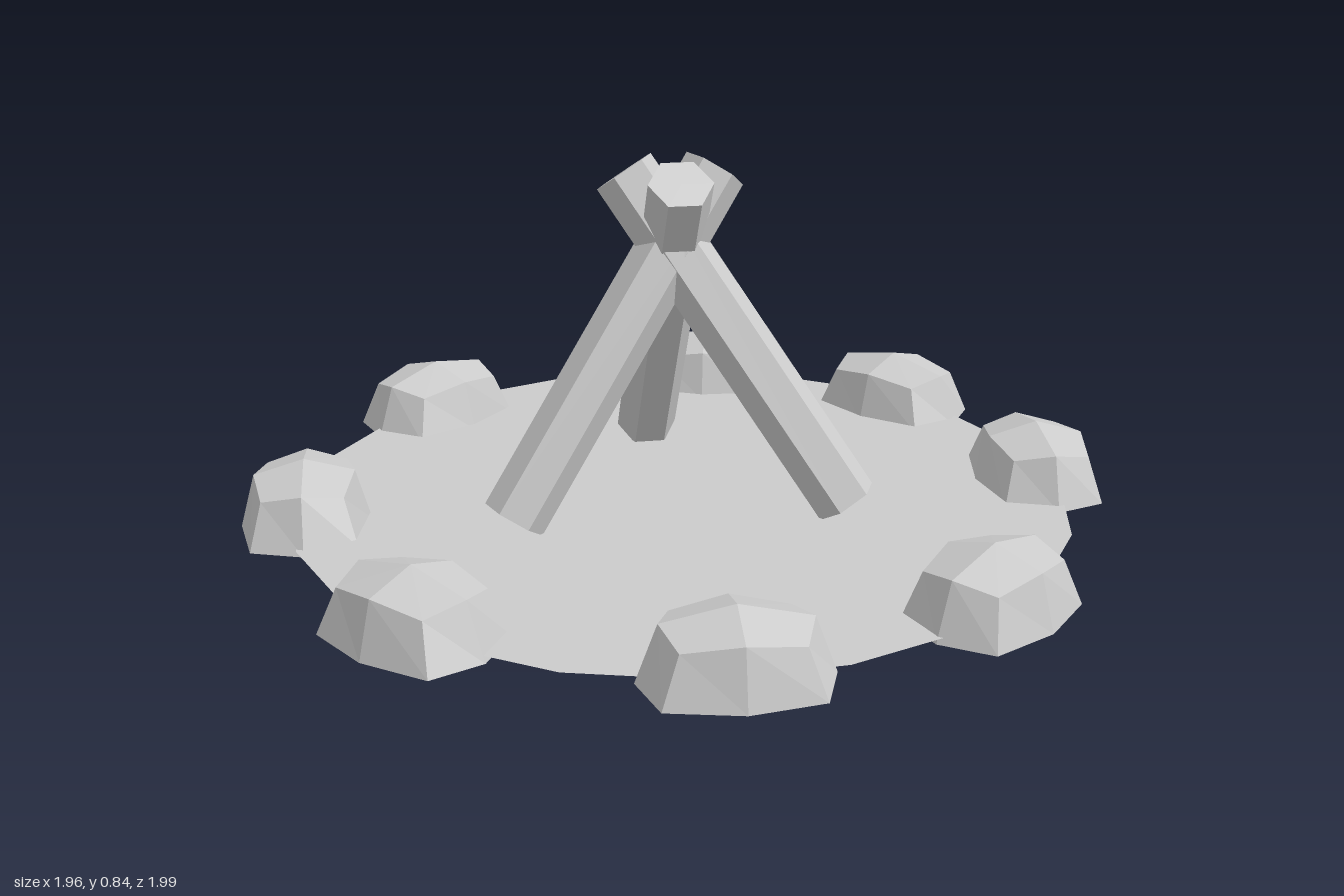
import * as THREE from 'three';

const material = new THREE.MeshStandardMaterial({ color: 0xcccccc, flatShading: true, side: THREE.DoubleSide });

// Faceted boulder: octagonal base, sloped sides, four flat top panels, closed bottom.
// Local x is the long axis, local z the short one.
function rockGeometry(halfLong, halfShort, height) {
  const ring = (scale, midY, cornerY) => Array.from({ length: 8 }, (_, i) => {
    const a = i * Math.PI / 4;
    const corner = i % 2 === 1;
    const k = corner ? 0.8 * Math.SQRT2 : 1; // corners bulge past the ellipse
    return new THREE.Vector3(
      Math.cos(a) * k * halfLong * scale, corner ? cornerY : midY, Math.sin(a) * k * halfShort * scale);
  });
  const base = ring(1, 0, 0);
  const rim = ring(0.77, height * 0.79, height * 0.67);
  const apex = new THREE.Vector3(0, height, 0);
  const floor = new THREE.Vector3(0, 0, 0);
  const points = [];
  for (let i = 0; i < 8; i++) {
    const j = (i + 1) % 8;
    points.push(base[i], rim[i], rim[j], base[i], rim[j], base[j]); // side
    points.push(apex, rim[j], rim[i]);                              // top
    points.push(floor, base[i], base[j]);                           // underside
  }
  const geometry = new THREE.BufferGeometry().setFromPoints(points);
  geometry.computeVertexNormals();
  return geometry;
}

export function createModel() {
  const group = new THREE.Group();
  const add = (geometry, name, x, y, z) => {
    const mesh = new THREE.Mesh(geometry, material);
    mesh.name = name;
    mesh.position.set(x, y, z);
    group.add(mesh);
    return mesh;
  };

  // Thin ground disc
  const disc = new THREE.CircleGeometry(0.92, 20).rotateX(-Math.PI / 2);
  add(disc, 'groundDisc', 0, 0.015, 0);

  // Ring of stones, each turned along the edge of the disc
  const rock = rockGeometry(0.2, 0.15, 0.158);
  const rocks = [
    [-0.155, -0.85], [0.39, -0.78], [0.805, -0.34], [0.78, 0.41],
    [0.33, 0.825], [-0.345, 0.82], [-0.81, 0.35], [-0.785, -0.39],
  ];
  rocks.forEach(([x, z], i) => {
    add(rock, `rock${i + 1}`, x, 0, z).rotation.y = Math.atan2(x, z);
  });

  // Three six-sided logs leaning together: middle x, z and direction of the foot
  const log = new THREE.CylinderGeometry(0.075, 0.075, 0.925, 6);
  const logs = [
    [0.135, 0.015, 1, 0],
    [-0.083, -0.133, -0.23, -0.5],
    [-0.125, 0.123, -0.38, 0.39],
  ];
  logs.forEach(([x, z, dx, dz], i) => {
    add(log, `log${i + 1}`, x, 0.425, z).rotation.set(0, Math.atan2(-dz, dx), 0.615);
  });

  return group;
}
